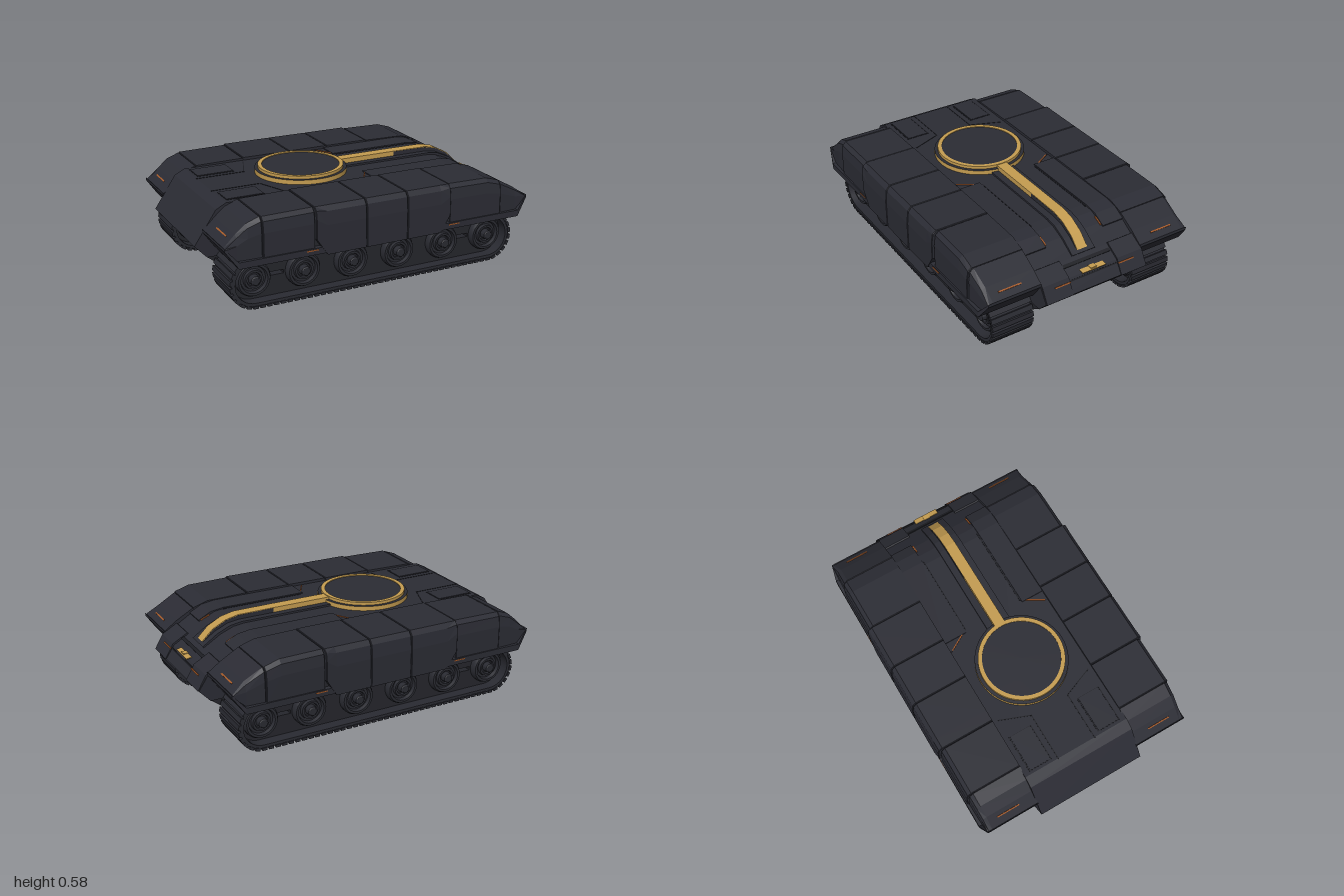
import * as THREE from 'three';
import { mergeGeometries, toCreasedNormals } from 'three/addons/utils/BufferGeometryUtils.js';

const paint = (name, color) => {
  const m = new THREE.MeshStandardMaterial({ color });
  m.name = name;
  return m;
};
const ARMOUR = paint('charcoal armour', 0x2b2c34);
const TRACK = paint('track steel', 0x292a31);
const UNDER = paint('dark underside', 0x25262c);
const SEAM = paint('black seam', 0x1c1d22);
const GOLD = paint('gold trim', 0xc49c50);
const EMBER = paint('ember orange', 0xa65a28);

const add = (parent, name, geometry, material) => {
  const mesh = new THREE.Mesh(geometry, material);
  mesh.name = name;
  parent.add(mesh);
  return mesh;
};

// Side profile in x,y extruded across z from z0 to z1
function slab(points, z0, z1) {
  const shape = new THREE.Shape(points.map(([x, y]) => new THREE.Vector2(x, y)));
  return new THREE.ExtrudeGeometry(shape, { depth: z1 - z0, bevelEnabled: false }).translate(0, 0, z0);
}

// Faceted solid through convex sections along x; each section is { x, ring: [[y, z], ...] }
function loft(sections) {
  const n = sections[0].ring.length;
  const P = (i, j) => [sections[i].x, ...sections[i].ring[j % n]];
  const tris = [];
  for (let i = 0; i < sections.length - 1; i++) {
    for (let j = 0; j < n; j++) {
      tris.push([P(i, j), P(i + 1, j), P(i + 1, j + 1)], [P(i, j), P(i + 1, j + 1), P(i, j + 1)]);
    }
  }
  const last = sections.length - 1;
  for (let j = 1; j < n - 1; j++) {
    tris.push([P(0, 0), P(0, j), P(0, j + 1)], [P(last, 0), P(last, j + 1), P(last, j)]);
  }
  // Turn the faces outward whichever side is being built
  const vec = (p) => new THREE.Vector3(...p);
  const volume = tris.reduce((v, [a, b, c]) => v + vec(a).dot(vec(b).cross(vec(c))), 0);
  if (volume < 0) tris.forEach((t) => t.reverse());
  const g = new THREE.BufferGeometry();
  g.setAttribute('position', new THREE.Float32BufferAttribute(tris.flat(2), 3));
  g.computeVertexNormals();
  return g;
}

// Skirt section with a small shoulder, between bottom b and top t, reaching out to w
const INNER = 0.328;
const skirtRing = (s, b, t, w) => {
  const h = t - b;
  return [[b, INNER], [t, INNER], [t, w - 0.03], [t - h * 0.1, w - 0.008], [t - h * 0.38, w], [b, w]]
    .map(([y, z]) => [y, z * s]);
};

// Skirt panel with bevelled ends; stops are [x, bottom, top, width]
function skirtPanel(s, width, stops) {
  const e = 0.003, last = stops.length - 1;
  const ring = ([x, b, t, w = width], dx, d) => ({ x: x + dx, ring: skirtRing(s, b, t - d, w - d) });
  return loft([ring(stops[0], 0, e), ring(stops[0], e, 0),
    ...stops.slice(1, last).map((p) => ring(p, 0, 0)),
    ring(stops[last], -e, 0), ring(stops[last], 0, e)]);
}

// Thin groove lines on a flat deck, following [x, z] points
function lines(points, y, width = 0.005) {
  const parts = [];
  for (let i = 0; i < points.length - 1; i++) {
    const [ax, az] = points[i], [bx, bz] = points[i + 1];
    parts.push(new THREE.BoxGeometry(Math.hypot(bx - ax, bz - az) + width, 0.004, width)
      .rotateY(-Math.atan2(bz - az, bx - ax)).translate((ax + bx) / 2, y, (az + bz) / 2));
  }
  return mergeGeometries(parts);
}

const lathe = (points, segments) => toCreasedNormals(
  new THREE.LatheGeometry(points.map(([r, y]) => new THREE.Vector2(r, y)), segments), 0.6);

function buildHull() {
  const hull = new THREE.Group();
  hull.name = 'hull';
  add(hull, 'upperHull', slab([[-1, 0.31], [-0.93, 0.235], [0.93, 0.23], [0.995, 0.3], [0.945, 0.375],
    [0.86, 0.425], [0.75, 0.492], [0.67, 0.523], [0.6, 0.531], [-0.81, 0.531], [-0.87, 0.5]], -0.334, 0.334), ARMOUR);
  add(hull, 'belly', slab([[-0.93, 0.236], [-0.85, 0.171], [-0.55, 0.169], [-0.45, 0.155], [0.45, 0.155],
    [0.55, 0.169], [0.85, 0.171], [0.93, 0.231]], -0.325, 0.325), UNDER);

  // Raised spine, dark rail and the gold strip on top
  add(hull, 'deckSpine', slab([[0, 0.53], [0.62, 0.53], [0.76, 0.485], [0.85, 0.425], [0.86, 0.436],
    [0.77, 0.497], [0.69, 0.532], [0.62, 0.542], [0, 0.542]], -0.075, 0.075), ARMOUR);
  add(hull, 'stripRail', slab([[0.4, 0.54], [0.6, 0.54], [0.74, 0.5], [0.835, 0.435], [0.845, 0.446],
    [0.78, 0.508], [0.7, 0.549], [0.62, 0.566], [0.4, 0.568]], -0.034, 0.034), ARMOUR);
  add(hull, 'goldStripRear', slab([[0.025, 0.54], [0.4, 0.54], [0.4, 0.571], [0.025, 0.571]], -0.033, 0.033), GOLD);
  add(hull, 'goldStripFront', slab([[0.4, 0.566], [0.62, 0.564], [0.7, 0.547], [0.78, 0.506], [0.84, 0.447],
    [0.846, 0.45], [0.783, 0.511], [0.701, 0.553], [0.622, 0.57], [0.4, 0.571]], -0.033, 0.033), GOLD);
  add(hull, 'noseBadge', new THREE.BoxGeometry(0.03, 0.018, 0.038).translate(0.94, 0.384, 0), GOLD);
  add(hull, 'noseBadgeWings', new THREE.BoxGeometry(0.032, 0.004, 0.155).rotateZ(-0.15).translate(0.945, 0.386, 0), GOLD);
  add(hull, 'noseSlot', new THREE.BoxGeometry(0.02, 0.006, 0.32).rotateZ(-0.53).translate(0.888, 0.41, 0), SEAM);
  add(hull, 'noseSeam', new THREE.BoxGeometry(0.008, 0.006, 0.58).rotateZ(-0.95).translate(0.956, 0.36, 0), SEAM);

  for (const s of [1, -1]) {
    const z = (pts) => pts.map(([x, v]) => [x, v * s]);
    const side = s > 0 ? 'left' : 'right';
    // Slab covering the span a..b on this side
    const sideSlab = (pts, a, b) => slab(pts, Math.min(a * s, b * s), Math.max(a * s, b * s));
    add(hull, side + 'NoseBlock', sideSlab([[0.93, 0.3], [1, 0.3], [0.95, 0.385], [0.86, 0.436], [0.84, 0.42]], 0.16, 0.33), ARMOUR);
    add(hull, side + 'SideDeck', sideSlab([[0.1, 0.525], [0.68, 0.515], [0.77, 0.47], [0.775, 0.486],
      [0.7, 0.525], [0.62, 0.537], [0.1, 0.537]], 0.19, 0.33), ARMOUR);
    add(hull, side + 'RearHatch', new THREE.BoxGeometry(0.22, 0.01, 0.13).translate(-0.68, 0.53, 0.225 * s), ARMOUR);
    add(hull, side + 'HatchGroove', lines(z([[-0.79, 0.155], [-0.79, 0.295], [-0.57, 0.295], [-0.57, 0.155], [-0.79, 0.155]]), 0.531), SEAM);
    add(hull, side + 'DeckGroove', lines(z([[0.04, 0.32], [0.12, 0.183], [0.62, 0.183]]), 0.531), SEAM);
    add(hull, side + 'RearGroove', lines(z([[-0.81, 0.12], [-0.52, 0.12], [-0.45, 0.3]]), 0.531), SEAM);
    // Glowing seams on deck, glacis and nose
    add(hull, side + 'DeckGlow', lines(z([[0.045, 0.31], [0.105, 0.209]]), 0.533, 0.006), EMBER);
    add(hull, side + 'GlacisGlow', new THREE.BoxGeometry(0.06, 0.008, 0.007).rotateZ(-0.42).translate(0.735, 0.499, 0.184 * s), EMBER);
    add(hull, side + 'NoseGlow', new THREE.BoxGeometry(0.007, 0.007, 0.1).rotateZ(-1.04).translate(0.966, 0.362, 0.21 * s), EMBER);
  }
  return hull;
}

function buildTurretRing() {
  const ring = new THREE.Group();
  ring.name = 'turretRing';
  ring.position.set(-0.21, 0, 0);
  add(ring, 'lowerGoldBand', lathe([[0.27, 0.529], [0.27, 0.557]], 64), GOLD);
  add(ring, 'ringStep', lathe([[0.27, 0.557], [0.25, 0.558]], 64), ARMOUR);
  add(ring, 'upperGoldBand', lathe([[0.251, 0.556], [0.251, 0.575], [0.227, 0.575], [0.227, 0.568]], 64), GOLD);
  add(ring, 'ringCover', lathe([[0.228, 0.571], [0, 0.572]], 64), ARMOUR);
  return ring;
}

function buildSkirt(s) {
  const skirt = new THREE.Group();
  skirt.name = s > 0 ? 'leftSkirt' : 'rightSkirt';
  // Core filling the gaps between panels
  const core = [[-0.93, 0.375, 0.39], [-0.85, 0.29, 0.465], [-0.75, 0.29, 0.53], [0.66, 0.29, 0.53], [0.83, 0.29, 0.455], [0.92, 0.375, 0.39]];
  add(skirt, 'skirtCore', loft(core.map(([x, b, t]) => ({ x, ring: skirtRing(s, b, t, 0.645) }))), UNDER);
  // Lower lip with upswept tips
  const lip = [[-0.95, 0.385, 0.402], [-0.88, 0.285, 0.322], [0.87, 0.285, 0.322], [0.94, 0.385, 0.402]];
  add(skirt, 'skirtLip', loft(lip.map(([x, b, t], i) => {
    const w = i === 0 || i === 3 ? 0.655 : 0.676;
    return { x, ring: [[b, INNER * s], [t, INNER * s], [t, w * s], [b, w * s]] };
  })), ARMOUR);
  // Sloped end caps and shoulder panels
  const panels = [
    ['rearCap', 0.66, [[-0.945, 0.385, 0.4, 0.655], [-0.88, 0.318, 0.462, 0.655], [-0.82, 0.318, 0.512, 0.658], [-0.741, 0.318, 0.54]]],
    ['rearPanel', 0.668, [[-0.739, 0.318, 0.541], [-0.44, 0.318, 0.545]]],
    ['frontPanel', 0.668, [[0.405, 0.318, 0.545], [0.66, 0.318, 0.541], [0.749, 0.318, 0.515]]],
    ['frontCap', 0.66, [[0.751, 0.318, 0.511], [0.86, 0.318, 0.452, 0.655], [0.935, 0.385, 0.402, 0.655]]],
    // Deep middle panels
    ['middlePanelRear', 0.68, [[-0.437, 0.37, 0.548], [-0.37, 0.275, 0.548], [-0.134, 0.275, 0.548]]],
    ['middlePanel', 0.68, [[-0.131, 0.275, 0.548], [0.123, 0.275, 0.548]]],
    ['middlePanelFront', 0.68, [[0.126, 0.275, 0.548], [0.34, 0.275, 0.548], [0.402, 0.37, 0.548]]],
  ];
  for (const [name, w, stops] of panels) add(skirt, name, skirtPanel(s, w, stops), ARMOUR);
  // Glowing seams on the caps and along the lip
  for (const [x, y, tilt] of [[-0.905, 0.4365, 0.75], [0.9, 0.4255, -0.59]]) {
    add(skirt, 'capGlow', new THREE.BoxGeometry(0.008, 0.005, 0.14).rotateZ(tilt).translate(x, y, 0.5 * s), EMBER);
  }
  for (const x of [-0.46, 0.43]) {
    add(skirt, 'lipGlow', new THREE.BoxGeometry(0.07, 0.006, 0.006).translate(x, 0.312, 0.675 * s), EMBER);
  }
  return skirt;
}

// Oval running-gear outline of the given radius
const X0 = -0.755, X1 = 0.735, CY = 0.15;
const oval = (Type, r) => new Type().absarc(X1, CY, r, -Math.PI / 2, Math.PI / 2, false)
  .absarc(X0, CY, r, Math.PI / 2, Math.PI * 1.5, false).closePath();

function buildTrack(s) {
  const track = new THREE.Group();
  track.name = s > 0 ? 'leftTrack' : 'rightTrack';
  track.position.z = 0.465 * s;
  const band = oval(THREE.Shape, 0.138);
  band.holes.push(oval(THREE.Path, 0.118));
  add(track, 'trackBand', new THREE.ExtrudeGeometry(band, { depth: 0.25, bevelEnabled: false, curveSegments: 16 })
    .translate(0, 0, -0.125), TRACK);
  // Cleats all round the band
  const path = oval(THREE.Path, 0.142), cleats = [], count = 96;
  for (let i = 0; i < count; i++) {
    const p = path.getPointAt(i / count), t = path.getTangentAt(i / count);
    cleats.push(new THREE.BoxGeometry(0.028, 0.016, 0.26).rotateZ(Math.atan2(t.y, t.x)).translate(p.x, p.y, 0));
  }
  add(track, 'trackCleats', mergeGeometries(cleats), TRACK);
  // Inner frame between the wheels, open in two short slots
  const frame = oval(THREE.Shape, 0.12);
  for (const x of [-0.604, 0.585]) {
    frame.holes.push(new THREE.Path([[-0.04, 0.147], [-0.04, 0.168], [0.04, 0.168], [0.04, 0.147]]
      .map(([dx, y]) => new THREE.Vector2(x + dx, y))));
  }
  add(track, 'wheelFrame', new THREE.ExtrudeGeometry(frame, { depth: 0.12, bevelEnabled: false, curveSegments: 16 })
    .translate(0, 0, -0.06), UNDER);
  // Road wheels, dished alike on both faces
  const face = [[0.1, 0.085], [0.092, 0.1], [0.078, 0.1], [0.072, 0.08], [0.058, 0.08], [0.054, 0.097],
    [0.042, 0.097], [0.038, 0.085], [0.03, 0.085], [0.027, 0.118], [0.02, 0.123], [0, 0.123]];
  const wheel = lathe([...face.map(([r, y]) => [r, -y]).reverse(), ...face], 28).rotateX(Math.PI / 2);
  for (let i = 0; i < 6; i++) {
    add(track, 'roadWheel', wheel, TRACK).position.set(-0.752 + i * 0.297, 0.157, 0);
  }
  return track;
}

export function createModel() {
  const model = new THREE.Group();
  model.name = 'armouredVehicle';
  model.add(buildHull(), buildTurretRing());
  for (const s of [1, -1]) model.add(buildSkirt(s), buildTrack(s));
  return model;
}
